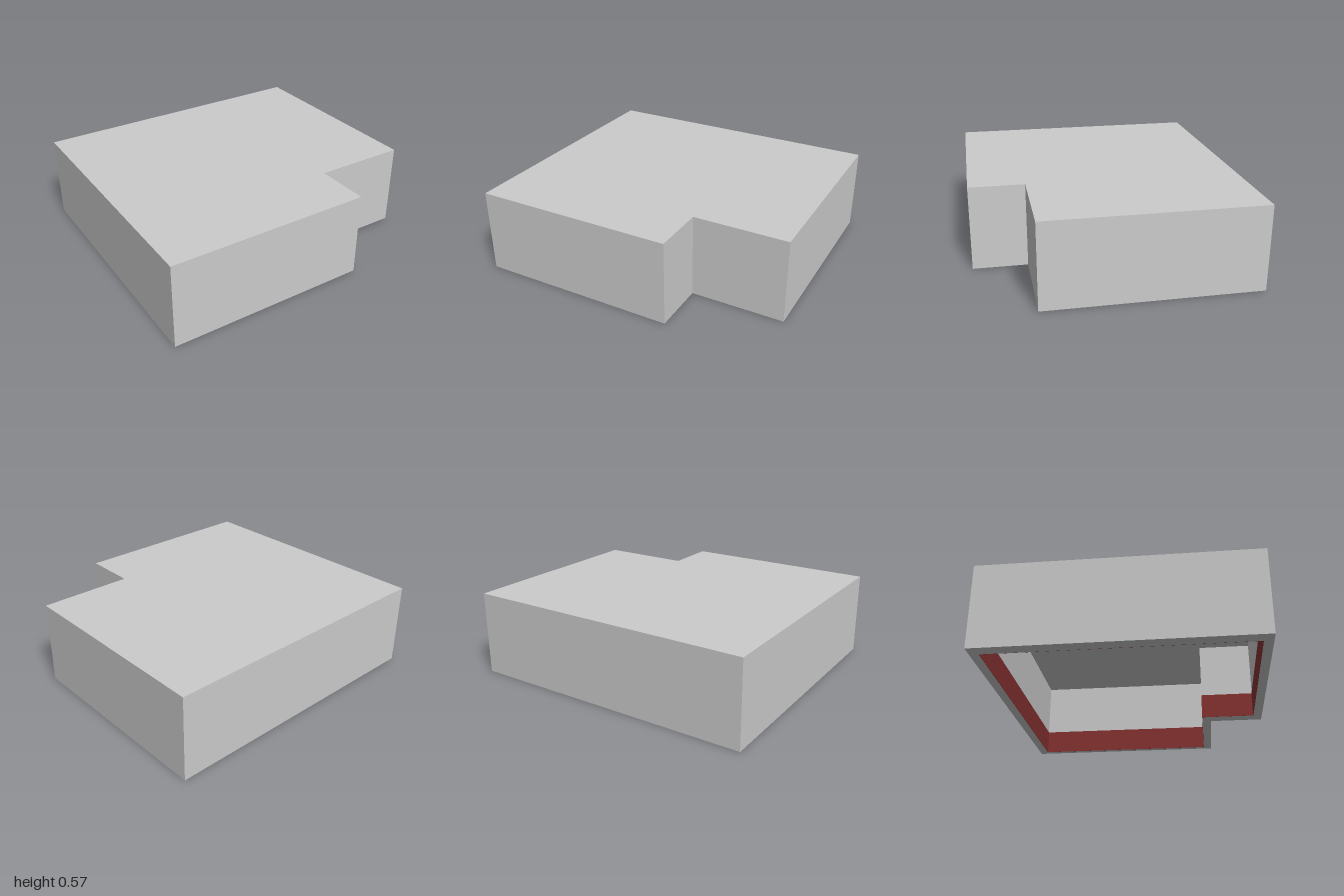
import * as THREE from 'three';

const HEIGHT = 0.575, CEILING = 0.005, SKIRTING = 0.175;

// L-shaped floor plan; insets: left/right/back/front walls and the two notch walls
function plan({ west = 0, east = 0, back = 0, front = 0, notchX = 0, notchZ = 0 }) {
  const x0 = -1 + west, x1 = 1 - east, xn = 0.36 - notchX;
  const z0 = -0.9 + back, z1 = 0.9 - front, zn = 0.53 - notchZ;
  return [[x0, z1], [xn, z1], [xn, zn], [x1, zn], [x1, z0], [x0, z0]]
    .map(([x, z]) => new THREE.Vector2(x, -z));
}

// Upright prism over a plan, with an optional opening
function prism(name, outer, inner, bottom, height, material) {
  const shape = new THREE.Shape(outer);
  if (inner) shape.holes.push(new THREE.Path(inner));
  const geometry = new THREE.ExtrudeGeometry(shape, { depth: height, bevelEnabled: false });
  geometry.rotateX(-Math.PI / 2);
  geometry.translate(0, bottom, 0);
  const mesh = new THREE.Mesh(geometry, material);
  mesh.name = name;
  return mesh;
}

export function createModel() {
  const group = new THREE.Group();
  group.name = 'room';
  const grey = new THREE.MeshStandardMaterial({ color: 0xcccccc });
  const red = new THREE.MeshStandardMaterial({ color: 0x853131 });

  const wall = { west: 0.085, east: 0.04, back: 0.06, front: 0.06, notchX: 0.085, notchZ: 0.06 };
  const lining = Object.fromEntries(Object.entries(wall).map(([k, t]) => [k, t + 0.002]));

  // Shell: walls open at the bottom, closed by a thin ceiling
  group.add(prism('walls', plan({}), plan(wall), 0, HEIGHT - CEILING, grey));
  group.add(prism('ceiling', plan({}), null, HEIGHT - CEILING, CEILING, grey));

  // Red band around the foot of the inner walls
  group.add(prism('skirting', plan(wall), plan(lining), 0, SKIRTING, red));

  // Ceiling lamp: two slim parallel bars
  const lamp = new THREE.Group();
  lamp.name = 'ceilingLamp';
  for (const side of [-1, 1]) {
    const bar = new THREE.Mesh(new THREE.BoxGeometry(0.32, 0.02, 0.016), grey);
    bar.name = 'lampBar';
    bar.position.z = side * 0.015;
    lamp.add(bar);
  }
  lamp.position.set(-0.6, HEIGHT - CEILING - 0.01, 0.32);
  group.add(lamp);

  return group;
}
